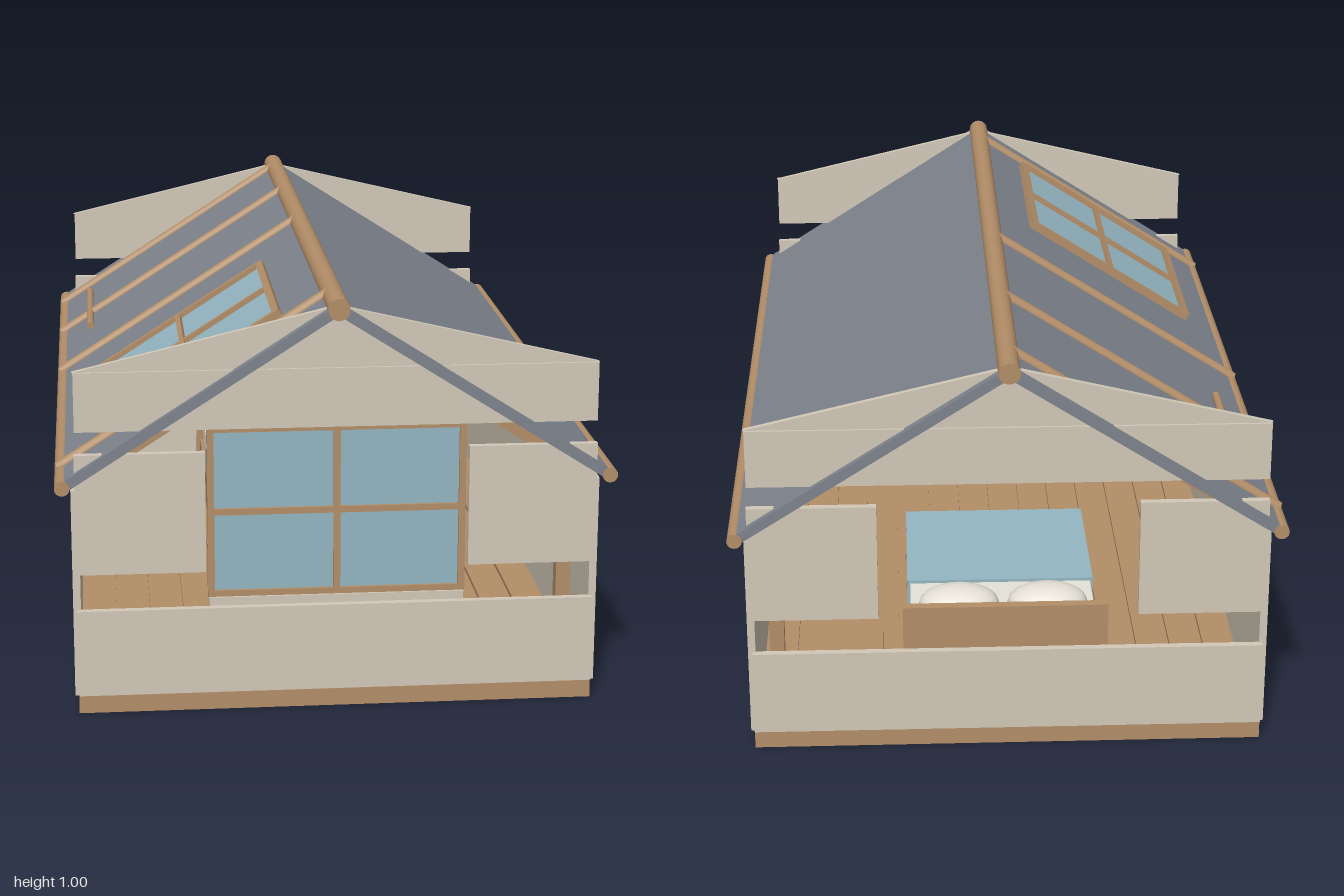
import * as THREE from 'three';

const material = (name, color) => {
  const m = new THREE.MeshStandardMaterial({ color });
  m.name = name;
  return m;
};

export function createModel() {
  const cream = material('cream panel', 0xd2c9b8);
  const wood = material('wood', 0xb38e68);
  const slate = material('slate roof', 0x7e838d);
  const glass = material('blue glass', 0x94b6c3);
  const white = material('white linen', 0xe6e2d8);
  const model = new THREE.Group();
  model.name = 'cabin';

  const add = (parent, name, geo, mat, x, y, z) => {
    const m = new THREE.Mesh(geo, mat);
    m.name = name;
    m.position.set(x, y, z);
    parent.add(m);
    return m;
  };
  const box = (parent, name, mat, w, h, d, x, y, z) =>
    add(parent, name, new THREE.BoxGeometry(w, h, d), mat, x, y, z);
  // Round pole between two points
  const pole = (parent, name, mat, r, a, b) => {
    const p = new THREE.Vector3(...a), q = new THREE.Vector3(...b);
    const dir = q.clone().sub(p);
    const m = add(parent, name, new THREE.CylinderGeometry(r, r, dir.length(), 16), mat, 0, 0, 0);
    m.position.copy(p).add(q).multiplyScalar(0.5);
    m.quaternion.setFromUnitVectors(new THREE.Vector3(0, 1, 0), dir.normalize());
    return m;
  };

  // Base and plank floor
  box(model, 'base', wood, 1.22, 0.042, 1.95, 0, 0.021, 0);
  for (let i = 0; i < 14; i++)
    box(model, 'floorPlank', wood, 0.08, 0.012, 1.9, -0.559 + i * 0.086, 0.047, 0);

  // Long side walls with a corner post at each end
  for (const s of [-1, 1])
    box(model, 'sideWall', cream, 0.018, 0.505, 1.935, s * 0.61, 0.295, 0);
  for (const z of [-0.88, 0.88])
    box(model, 'cornerPost', wood, 0.035, 0.56, 0.035, 0.553, 0.33, z);

  // End walls: low board, two side panels, high board and gable
  const gableShape = new THREE.Shape([
    new THREE.Vector2(-0.61, 0.83), new THREE.Vector2(0.61, 0.83), new THREE.Vector2(0, 0.975),
  ]);
  for (const s of [-1, 1]) {
    const end = new THREE.Group();
    end.name = s > 0 ? 'frontWall' : 'backWall';
    model.add(end);
    box(end, 'lowBoard', cream, 1.22, 0.21, 0.018, 0, 0.15, s * 0.972);
    box(end, 'highBoard', cream, 1.215, 0.14, 0.018, 0, 0.76, s * 0.972);
    for (const k of [-1, 1])
      box(end, 'sidePanel', cream, 0.302, 0.29, 0.018, k * 0.459, 0.49, s * 0.972);
    add(end, 'gable', new THREE.ExtrudeGeometry(gableShape, { depth: 0.014, bevelEnabled: false }),
      cream, 0, 0, s * 0.968 - 0.007);
  }

  // Front window
  const win = new THREE.Group();
  win.name = 'frontWindow';
  win.position.set(0, 0.485, 0.955);
  model.add(win);
  box(win, 'windowPane', glass, 0.58, 0.4, 0.006, 0, 0, 0);
  for (const x of [-0.295, 0, 0.295])
    box(win, 'windowUpright', wood, 0.016, 0.415, 0.022, x, 0, 0);
  for (const y of [-0.2, 0, 0.2])
    box(win, 'windowBar', wood, 0.6, 0.015, 0.022, 0, y, 0);
  box(win, 'windowSill', cream, 0.6, 0.02, 0.025, 0, -0.217, 0.004);

  // Roof slopes, each built flat and then tilted
  const tilt = Math.atan2(0.41, 0.64);
  const length = Math.hypot(0.41, 0.64);
  const slopes = [-1, 1].map((s) => {
    const g = new THREE.Group();
    g.name = s < 0 ? 'rightSlope' : 'leftSlope';
    g.position.set(s * 0.32, 0.765, 0);
    g.rotation.z = -s * tilt;
    model.add(g);
    box(g, 'roofSheet', slate, length, 0.024, 1.995, 0, 0, 0);
    for (const z of [-0.86, 0, 0.86])
      box(g, 'innerRafter', wood, 0.66, 0.03, 0.03, 0, -0.04, z);
    pole(model, 'eavePole', wood, 0.018, [s * 0.638, 0.562, -1], [s * 0.638, 0.562, 1]);
    return g;
  });
  pole(model, 'ridgePole', wood, 0.026, [0, 0.97, -1], [0, 0.97, 1]);

  // Battens and a short rail on the right slope
  const right = slopes[0];
  for (const z of [-0.88, -0.5, -0.05, 0.855])
    pole(right, 'batten', wood, 0.015, [-length / 2, 0.012, z], [length / 2, 0.012, z]);
  pole(right, 'shortRail', wood, 0.01, [-0.279, 0.02, -0.77], [-0.279, 0.02, -0.32]);

  // Skylight
  const sky = new THREE.Group();
  sky.name = 'skylight';
  sky.position.set(-0.006, 0.016, 0.513);
  right.add(sky);
  box(sky, 'skylightPane', glass, 0.5, 0.008, 0.555, 0, 0, 0);
  for (const k of [-1, 0, 1]) {
    box(sky, 'skylightBar', wood, 0.51, 0.024, k ? 0.018 : 0.013, 0, 0.004, k * 0.277);
    box(sky, 'skylightSide', wood, k ? 0.018 : 0.013, 0.024, 0.57, k * 0.25, 0.004, 0);
  }

  // Bed with pillows and blanket
  const bed = new THREE.Group();
  bed.name = 'bed';
  model.add(bed);
  box(bed, 'headboard', wood, 0.5, 0.25, 0.025, 0, 0.175, -0.83);
  box(bed, 'bedFrame', wood, 0.48, 0.1, 0.72, 0, 0.1, -0.46);
  box(bed, 'mattress', white, 0.46, 0.06, 0.7, 0, 0.18, -0.46);
  box(bed, 'blanket', glass, 0.475, 0.065, 0.42, 0, 0.185, -0.32);
  for (const s of [-1, 1]) {
    const p = add(bed, 'pillow', new THREE.SphereGeometry(1, 20, 12), white, s * 0.11, 0.24, -0.7);
    p.scale.set(0.1, 0.045, 0.075);
  }
  box(model, 'bedsideBox', wood, 0.2, 0.13, 0.2, 0.4, 0.115, -0.76);

  // Hanging hook
  pole(model, 'hookStem', wood, 0.008, [-0.555, 0.6, -0.55], [-0.555, 0.285, -0.55]);
  pole(model, 'hookFoot', wood, 0.008, [-0.56, 0.285, -0.55], [-0.505, 0.285, -0.55]);

  return model;
}
